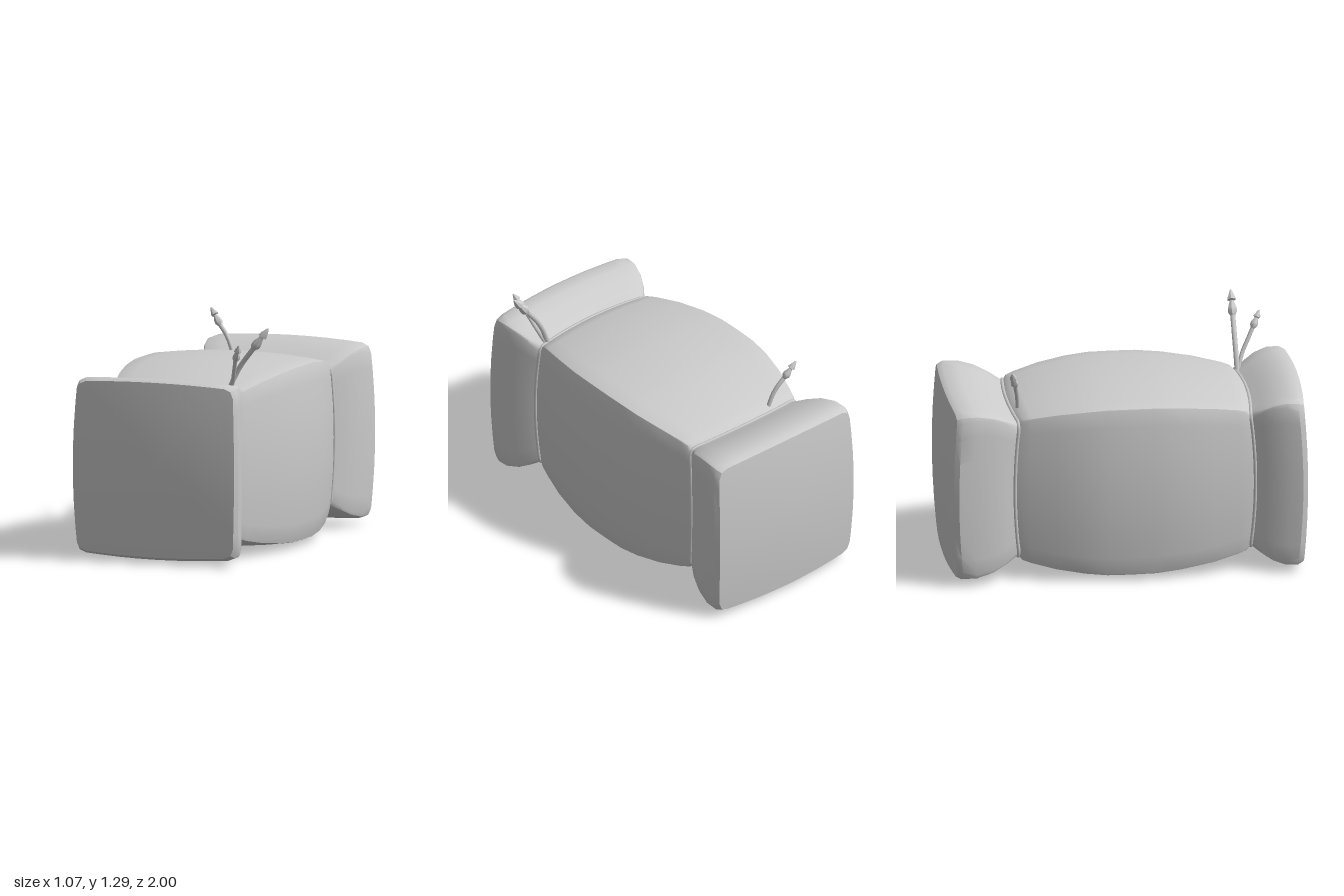
import * as THREE from 'three';
import { toCreasedNormals } from 'three/addons/utils/BufferGeometryUtils.js';

const CX = -0.027, CY = 0.52;
const material = new THREE.MeshStandardMaterial({ color: 0xcccccc, side: THREE.DoubleSide });
const STEPS = [-1, -0.8, -0.5, -0.25, 0, 0.25, 0.5, 0.8, 1];

// Cross-sections from the middle to one end: [z, half width, half height, side bulge, corner cut, bow along z]
const BARREL = [
  [0, 0.508, 0.515, 0.065, 0.015, 0],
  [0.14, 0.506, 0.514, 0.065, 0.015, 0],
  [0.28, 0.493, 0.502, 0.065, 0.015, 0],
  [0.45, 0.457, 0.477, 0.06, 0.015, 0.004],
  [0.6, 0.412, 0.443, 0.05, 0.03, 0.012],
  [0.65, 0.395, 0.425, 0.04, 0.05, 0.017],
  [0.675, 0.383, 0.396, 0.03, 0.08, 0.022],
];
const FLARE = [
  [0.675, 0.383, 0.396, 0.03, 0.08, 0.022],
  [0.73, 0.425, 0.43, 0.03, 0.04, 0.02],
  [0.79, 0.455, 0.466, 0.03, 0.04, 0.02],
  [0.86, 0.48, 0.49, 0.03, 0.06, 0.02],
  [0.925, 0.492, 0.497, 0.03, 0.11, 0.022],
];

// Bulged square outline with cut corners, counter-clockwise seen from +z
function outline([z, hx, hy, bulge, cut, bow], dir) {
  const points = [];
  // the back tie sits closer to the middle than the front one
  const zz = dir > 0 ? z : z <= 0.675 ? z * 0.896 : 0.605 + (z - 0.675) * 1.28;
  for (let k = 0; k < 4; k++) {
    const add = (out, along, b) => {
      const [u, v] = [[out, along], [-along, out], [-out, -along], [along, -out]][k];
      points.push(new THREE.Vector3(CX + u * hx, CY + v * hy, dir * (zz + b)));
    };
    for (const t of STEPS) add(1 - bulge * t * t, t * (1 - bulge - cut), bow * (1 - t * t));
    add(1 - bulge - 0.3 * cut, 1 - bulge - 0.3 * cut, 0);
  }
  return points;
}

// Skin a list of closed rings ordered by rising z
function loft(name, rings, crease = 0.6) {
  const n = rings[0].length, index = [];
  for (let i = 0; i < rings.length - 1; i++) {
    for (let j = 0; j < n; j++) {
      const a = i * n + j, b = i * n + (j + 1) % n;
      index.push(a, b, b + n, a, b + n, a + n);
    }
  }
  const geometry = new THREE.BufferGeometry().setFromPoints(rings.flat());
  geometry.setIndex(index);
  const mesh = new THREE.Mesh(toCreasedNormals(geometry, crease), material);
  mesh.name = name;
  return mesh;
}

// Flared end with a softly domed face
function flaredEnd(name, dir) {
  const rings = FLARE.map((s) => outline(s, dir));
  const rim = rings[rings.length - 1];
  for (const s of [0.97, 0.93, 0.7, 0.45, 0.2, 0]) {
    rings.push(rim.map((p) => {
      const u = (p.x - CX) / 0.492 * s, v = (p.y - CY) / 0.497 * s;
      return new THREE.Vector3(CX + u * 0.492, CY + v * 0.497, dir * (1 - 0.027 * (u * u + v * v)));
    }));
  }
  return loft(name, dir > 0 ? rings : rings.reverse());
}

// Cord following the narrow neck
function tie(name, dir) {
  const neck = [...FLARE[0]];
  neck[1] += 0.004;
  neck[2] += 0.004;
  const path = new THREE.CatmullRomCurve3(outline(neck, dir), true, 'centripetal');
  const mesh = new THREE.Mesh(new THREE.TubeGeometry(path, 120, 0.01, 6, true), material);
  mesh.name = name;
  return mesh;
}

// Curved stem carrying a bud and a pointed tip
function sprig(name, points, tip, radius) {
  const group = new THREE.Group();
  group.name = name;
  const path = new THREE.CatmullRomCurve3(points.map((p) => new THREE.Vector3(...p)));
  const stem = new THREE.Mesh(new THREE.TubeGeometry(path, 12, radius * 0.55, 7), material);
  stem.name = 'stem';

  const start = path.getPoint(1), axis = new THREE.Vector3(...tip).sub(start);
  const length = axis.length();
  const profile = [[0, 0], [0.5, 0], [1, 0.16], [1, 0.28], [0.55, 0.5], [0.5, 0.56], [0.95, 0.6], [0.85, 0.68], [0.3, 0.93], [0, 1]]
    .map(([r, y]) => new THREE.Vector2(r * radius, y * length));
  const bud = new THREE.Mesh(toCreasedNormals(new THREE.LatheGeometry(profile, 7), 0.7), material);
  bud.name = 'bud';
  bud.position.copy(start);
  bud.quaternion.setFromUnitVectors(new THREE.Vector3(0, 1, 0), axis.normalize());
  group.add(stem, bud);
  return group;
}

export function createModel() {
  const model = new THREE.Group();
  model.name = 'tiedBolster';

  const back = BARREL.slice(1).reverse().map((s) => outline(s, -1));
  // outline order is the same for both halves, so the barrel is one skin
  model.add(loft('barrel', [...back, ...BARREL.map((s) => outline(s, 1))]));
  model.add(flaredEnd('frontEnd', 1), flaredEnd('backEnd', -1));
  model.add(tie('frontTie', 1), tie('backTie', -1));

  model.add(
    sprig('frontTallSprig', [[0.28, 0.89, 0.685], [0.32, 1.0, 0.682], [0.37, 1.09, 0.68], [0.435, 1.175, 0.68]], [0.53, 1.297, 0.68], 0.026),
    sprig('frontShortSprig', [[0.29, 0.89, 0.685], [0.335, 1.0, 0.72], [0.355, 1.06, 0.75], [0.375, 1.12, 0.78]], [0.415, 1.212, 0.825], 0.021),
    sprig('backSprig', [[-0.21, 0.9, -0.585], [-0.25, 1.01, -0.595], [-0.28, 1.06, -0.605], [-0.31, 1.095, -0.613]], [-0.378, 1.192, -0.637], 0.022),
  );
  return model;
}
